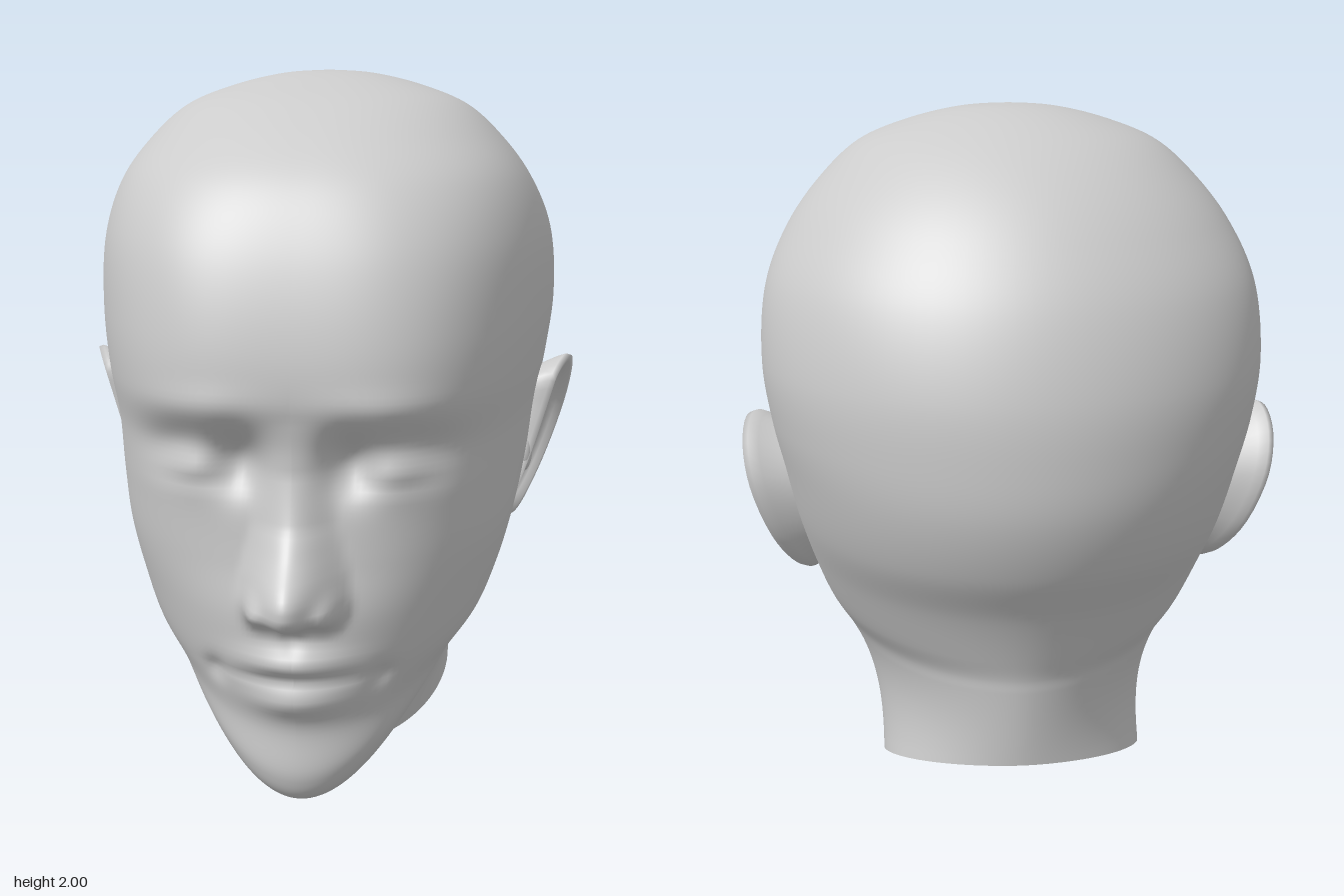
import * as THREE from 'three';

const { lerp, smoothstep } = THREE.MathUtils;
const material = new THREE.MeshStandardMaterial({ color: 0xcccccc, side: THREE.DoubleSide });

// Level skull rings: [y, front z, widest z, half width, back z]
const SKULL = [
  [2.0, -0.135, -0.135, 0, -0.135],
  [1.99, 0.0, -0.13, 0.13, -0.25],
  [1.955, 0.15, -0.12, 0.275, -0.38],
  [1.9, 0.31, -0.12, 0.405, -0.495],
  [1.81, 0.46, -0.14, 0.505, -0.615],
  [1.7, 0.585, -0.17, 0.588, -0.715],
  [1.55, 0.672, -0.22, 0.652, -0.808],
  [1.35, 0.73, -0.25, 0.67, -0.872],
  [1.19, 0.742, -0.24, 0.652, -0.885],
  [1.05, 0.705, -0.2, 0.625, -0.875],
  [0.9, 0.685, -0.14, 0.6, -0.825],
  [0.76, 0.69, -0.08, 0.568, -0.742],
  [0.62, 0.712, -0.02, 0.525, -0.682],
];

// Front line from the mouth round the chin to the throat: [y, z]
const CHIN = [[0.45, 0.695], [0.3, 0.658], [0.16, 0.655], [0.09, 0.615],
  [0.05, 0.47], [0.1, 0.31], [0.1, 0.19], [0, 0.11]];

const point = (y, z) => ({ y, z });

// Control rings: level ones for the skull, then rings tilting into the slanted neck rim.
// lift raises the jaw line quickly beside the chin
const RINGS = [
  ...SKULL.map(([y, front, side, width, back]) => ({
    front: point(y, front), side: point(y, side), back: point(y, back), width, lift: 1,
  })),
  ...CHIN.map(([y, z], i) => {
    const k = i / (CHIN.length - 1);
    return {
      front: point(y, z),
      side: point(lerp(0.525, 0.175, k), lerp(0.02, -0.26, k)),
      back: point(lerp(0.56, 0.3, k), lerp(-0.662, -0.63, k)),
      width: lerp(0.372, 0.48, (1 - k) ** 2.5),
      lift: 1 + 1.8 * Math.sin(Math.PI * k),
    };
  }),
];

// Straight-line lookup in [key, value] pairs with falling keys, 0 outside
function lookup(table, y) {
  for (let i = 0; i < table.length - 1; i++) {
    const [y0, v0] = table[i], [y1, v1] = table[i + 1];
    if (y <= y0 && y >= y1) return lerp(v0, v1, (y0 - y) / (y0 - y1));
  }
  return 0;
}

// Soft round bump
const bump = (x, y, cx, cy, rx, ry) => Math.exp(-(((x - cx) / rx) ** 2) - ((y - cy) / ry) ** 2);

const NOSE_HEIGHT = [[1.14, 0], [1.0, 0.02], [0.87, 0.065], [0.8, 0.115], [0.74, 0.172],
  [0.71, 0.186], [0.67, 0.175], [0.64, 0.14], [0.61, 0.04], [0.585, 0]];
const NOSE_WIDTH = [[1.14, 0.09], [1.0, 0.1], [0.87, 0.115], [0.74, 0.145], [0.66, 0.15], [0.585, 0.14]];

// Forward relief of the face at sideways distance x and height y
function faceRelief(x, y) {
  let d = 0;
  const w = lookup(NOSE_WIDTH, y);
  if (x < w) d += lookup(NOSE_HEIGHT, y) * (0.5 + 0.5 * Math.cos(Math.PI * x / w)) ** 0.8;
  d += 0.045 * bump(x, y, 0.095, 0.665, 0.03, 0.04); // nostril wing
  d -= 0.025 * bump(x, y, 0.045, 0.625, 0.025, 0.018); // nostril
  d += 0.012 * bump(x, y, 0.22, 1.17, 0.15, 0.045); // brow
  d -= 0.065 * bump(x, y, 0.14, 1.02, 0.065, 0.08); // inner socket
  d -= 0.04 * bump(x, y, 0.3, 1.05, 0.12, 0.07); // outer socket
  d += 0.022 * bump(x, y, 0.27, 1.01, 0.07, 0.055); // eyeball
  d -= 0.008 * bump(x, y, 0.26, 0.965, 0.1, 0.02); // lid crease
  d += 0.036 * bump(x, y, 0, 0.505, 0.13, 0.035); // upper lip
  d += 0.03 * bump(x, y, 0, 0.39, 0.12, 0.045); // lower lip
  d -= 0.014 * bump(x, y, 0, 0.457, 0.17, 0.012); // mouth seam
  d -= 0.02 * bump(x, y, 0.22, 0.445, 0.03, 0.035); // mouth corner
  d -= 0.008 * bump(x, y, 0, 0.565, 0.025, 0.03); // groove under the nose
  return d;
}

// Smooth surface through closed loops of points
function loft(loops) {
  const n = loops[0].length, index = [];
  for (let i = 0; i < loops.length - 1; i++) {
    for (let j = 0; j < n; j++) {
      const a = i * n + j, b = i * n + (j + 1) % n;
      index.push(a, a + n, b, b, a + n, b + n);
    }
  }
  const geometry = new THREE.BufferGeometry().setFromPoints(loops.flat());
  geometry.setIndex(index);
  geometry.computeVertexNormals();
  return geometry;
}

// Point of a control ring at angle a (0 front, PI back): a superellipse,
// squarest and tapering forwards between the cheeks and the forehead
function ringPoint({ front, side, back, width, lift }, a) {
  const isFront = a < Math.PI / 2, end = isFront ? front : back;
  const square = smoothstep(front.y, 0.5, 1.05) * (1 - smoothstep(front.y, 1.4, 1.95));
  const n = isFront ? lerp(front.y > 1.4 ? 2.2 : 1.95, 3.5, square)
    : lerp(1.8, 2, smoothstep(side.y, 0.5, 1));
  const c0 = Math.abs(Math.cos(a)), s0 = Math.sin(a);
  const r = (c0 ** n + s0 ** n) ** (-1 / n), c = c0 * r;
  const taper = isFront ? 1 - 0.23 * square * c ** 1.25 : 1;
  return new THREE.Vector3(
    width * s0 * r * taper,
    lerp(side.y, end.y, isFront ? c ** lift : c),
    lerp(side.z, end.z, c),
  );
}

function headGeometry() {
  const half = 76, steps = (RINGS.length - 1) * 9;
  const columns = [];
  for (let j = 0; j <= half; j++) {
    const a = Math.PI * (j / half) ** 1.5; // finer towards the face
    const curve = new THREE.CatmullRomCurve3(RINGS.map(r => ringPoint(r, a)));
    const points = curve.getPoints(steps);
    for (const p of points) {
      if (a < 1.4 && p.z > 0.25 && p.y > 0.2) p.z += faceRelief(p.x, p.y);
    }
    columns.push(points);
  }
  const loops = [];
  for (let i = 0; i <= steps; i++) {
    const side = columns.map(c => c[i]);
    const mirrored = side.slice(1, -1).reverse().map(p => new THREE.Vector3(-p.x, p.y, p.z));
    loops.push([...side, ...mirrored]);
  }
  return loft(loops);
}

// Ear: one outline scaled into nested loops on a plane that flares up and back
function earGeometry() {
  const outline = new THREE.CatmullRomCurve3([
    [-0.07, 1.13], [-0.12, 1.165], [-0.19, 1.17], [-0.27, 1.11], [-0.315, 1.0], [-0.29, 0.85],
    [-0.22, 0.75], [-0.14, 0.7], [-0.05, 0.705], [-0.03, 0.77], [-0.06, 0.9], [-0.065, 1.03],
  ].map(([z, y]) => new THREE.Vector3(0, y, z)), true).getPoints(48).slice(0, -1);
  // [scale, offset from the ear plane]
  const nested = [[0.78, -0.16], [0.86, -0.08], [0.96, -0.035], [1, -0.01], [0.98, 0.006], [0.9, 0.004],
    [0.84, -0.015], [0.76, -0.03], [0.6, -0.03], [0.48, -0.05], [0.25, -0.07], [0, -0.07]];
  return loft(nested.map(([s, dx]) => outline.map(p => {
    const y = lerp(0.93, p.y, s), z = lerp(-0.165, p.z, s);
    return new THREE.Vector3(0.55 + 0.286 * (y - 0.7) + 0.297 * (-z - 0.06) + dx, y, z);
  })));
}

export function createModel() {
  const model = new THREE.Group();
  model.name = 'head';
  const add = (parent, name, geometry) => {
    const mesh = new THREE.Mesh(geometry, material);
    mesh.name = name;
    parent.add(mesh);
    return mesh;
  };
  add(model, 'headAndNeck', headGeometry());

  const shell = earGeometry();
  const flap = new THREE.SphereGeometry(1, 16, 12);
  for (const [name, side] of [['leftEar', 1], ['rightEar', -1]]) {
    const ear = new THREE.Group();
    ear.name = name;
    ear.scale.x = side;
    add(ear, 'earShell', shell);
    // small flap in front of the ear canal
    const tragus = add(ear, 'tragus', flap);
    tragus.position.set(0.59, 0.89, -0.085);
    tragus.scale.set(0.025, 0.06, 0.035);
    model.add(ear);
  }
  return model;
}
